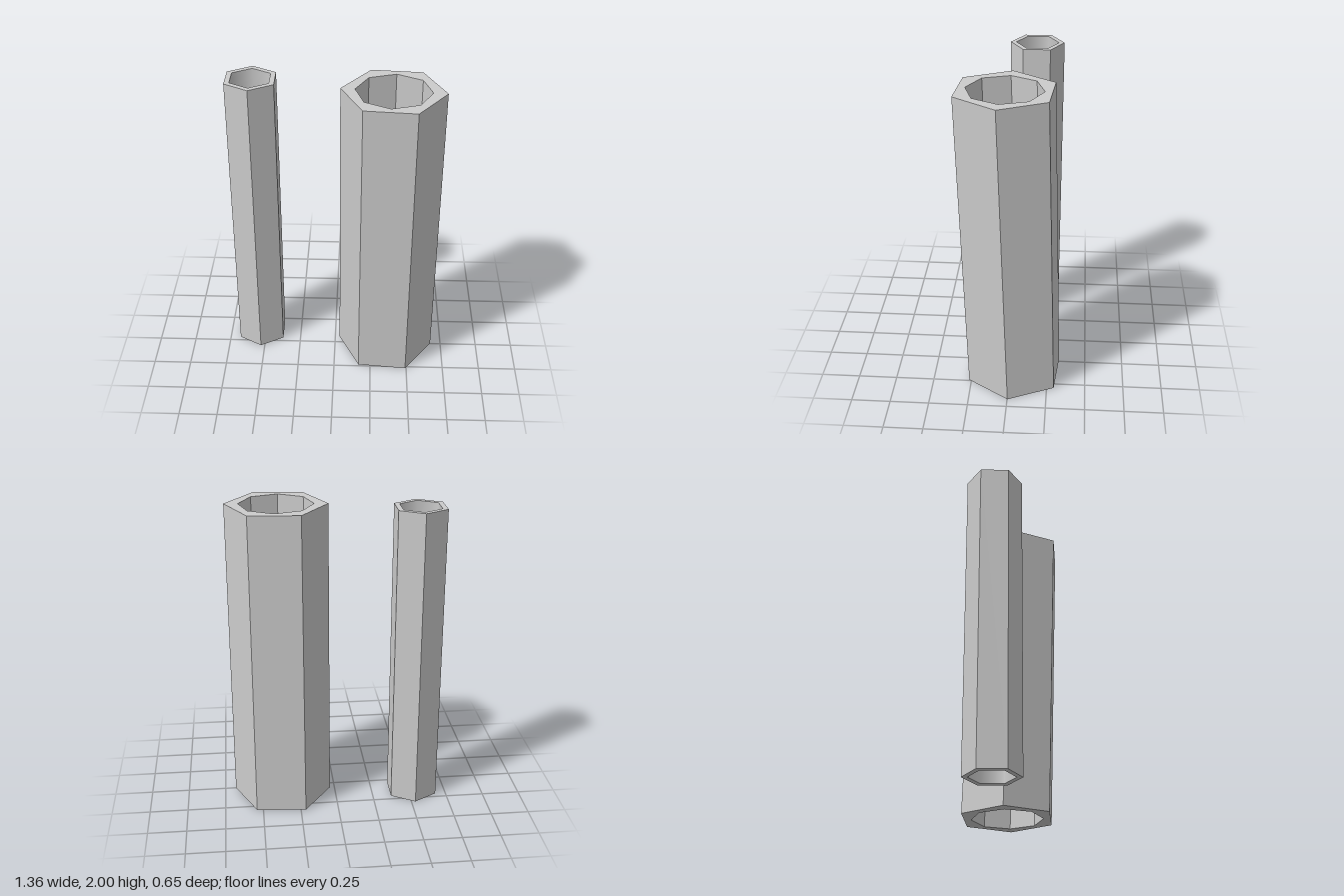
import * as THREE from 'three';

// Regular polygon outline, counter-clockwise; `turn` runs from +x towards +z once laid flat
function polygon(radius, sides, turn) {
  return Array.from({ length: sides }, (_, i) => {
    const a = (i / sides) * Math.PI * 2 - turn;
    return new THREE.Vector2(Math.cos(a) * radius, Math.sin(a) * radius);
  });
}

// Upright faceted tube with a polygonal bore, leaning by `lean` in z per unit of height
function tube({ name, x, z, outer, inner, outerSides, innerSides, turn, height, lean = 0, smoothBore = false }) {
  const shape = new THREE.Shape(polygon(outer, outerSides, turn));
  shape.holes.push(new THREE.Path(polygon(inner, innerSides, turn)));
  const geo = new THREE.ExtrudeGeometry(shape, { depth: height, bevelEnabled: false });
  geo.rotateX(-Math.PI / 2);

  // Round the shading of the bore only
  if (smoothBore) {
    const p = geo.attributes.position, n = geo.attributes.normal;
    for (let i = 0; i < p.count; i++) {
      const r = Math.hypot(p.getX(i), p.getZ(i));
      if (r < inner + 0.005 && Math.abs(n.getY(i)) < 0.5) n.setXYZ(i, -p.getX(i) / r, 0, -p.getZ(i) / r);
    }
  }

  // Slant the whole tube while keeping both ends level
  if (lean) {
    geo.applyMatrix4(new THREE.Matrix4().makeShear(0, 0, 0, lean, 0, 0));
    geo.computeVertexNormals();
  }

  const mesh = new THREE.Mesh(geo, new THREE.MeshStandardMaterial({ color: 0xcccccc }));
  mesh.name = name;
  mesh.position.set(x, 0, z);
  return mesh;
}

export function createModel() {
  const group = new THREE.Group();
  group.name = 'hexagonalTubes';
  group.add(
    // Slim straight tube
    tube({
      name: 'slimTube', x: -0.527, z: -0.122, outer: 0.177, inner: 0.14,
      outerSides: 6, innerSides: 6, turn: Math.PI / 2, height: 2, smoothBore: true,
    }),
    // Wide leaning tube with an eight-sided bore
    tube({
      name: 'wideTube', x: 0.355, z: -0.03, outer: 0.325, inner: 0.236,
      outerSides: 6, innerSides: 8, turn: THREE.MathUtils.degToRad(5), height: 2, lean: 0.03,
    }),
  );
  return group;
}
